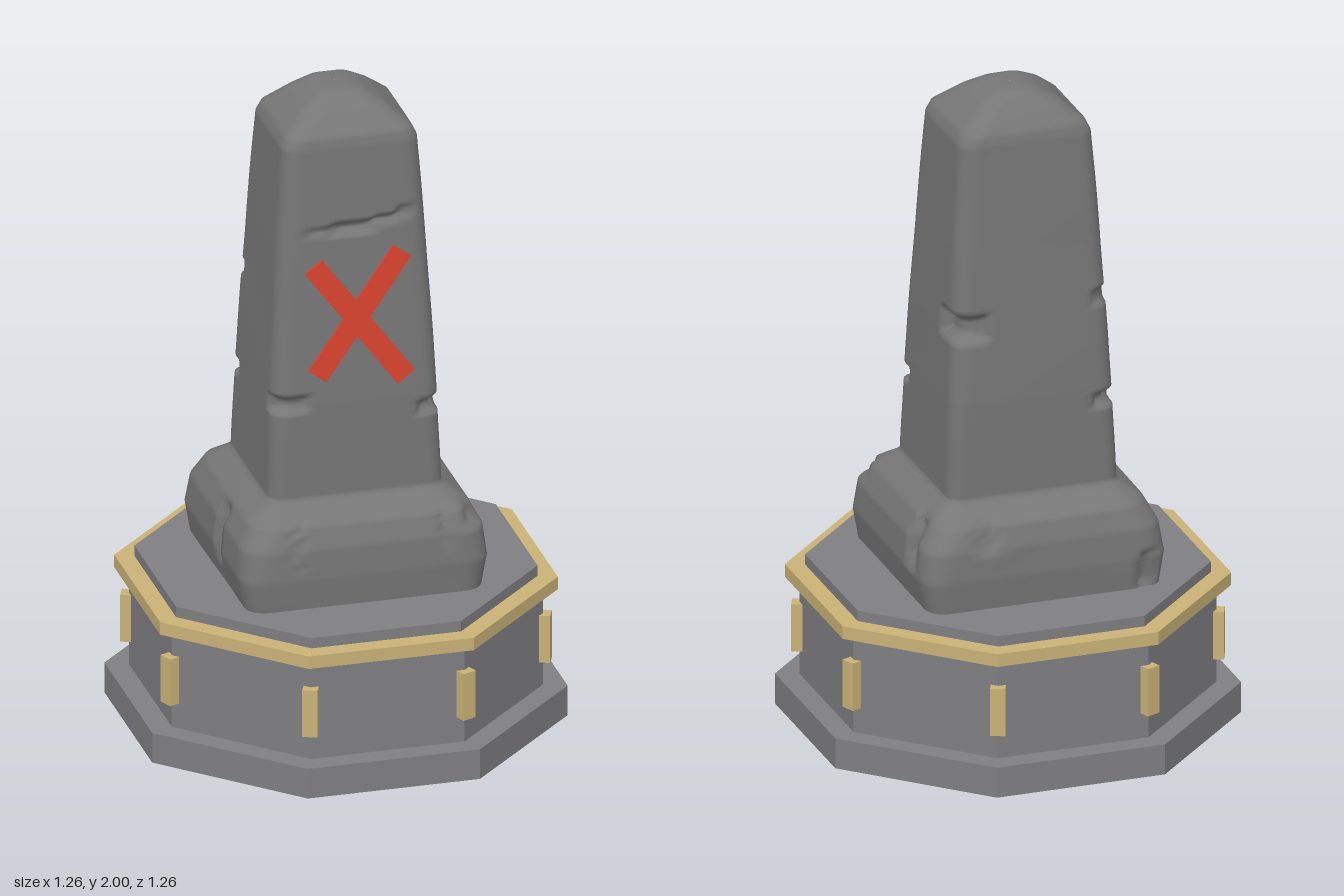
import * as THREE from 'three';

const paint = (name, color) => {
  const m = new THREE.MeshStandardMaterial({ color });
  m.name = name;
  return m;
};

// Octagonal slab with flat sides facing the axes
function octagon(apothem, y0, y1, material, name) {
  const r = apothem / Math.cos(Math.PI / 8);
  let geo = new THREE.CylinderGeometry(r, r, y1 - y0, 8);
  geo.rotateY(Math.PI / 8);
  geo = geo.toNonIndexed();
  geo.computeVertexNormals();
  const mesh = new THREE.Mesh(geo, material);
  mesh.position.y = (y0 + y1) / 2;
  mesh.name = name;
  return mesh;
}

// Height, half width, half depth, corner radius, z offset
const profile = [
  [0.47, 0.36, 0.345, 0.06, 0], [0.57, 0.378, 0.352, 0.07, 0], [0.66, 0.368, 0.345, 0.08, 0],
  [0.725, 0.335, 0.32, 0.09, 0], [0.765, 0.285, 0.255, 0.06, 0], [0.78, 0.265, 0.238, 0.045, 0],
  [1.08, 0.254, 0.234, 0.05, 0], [1.55, 0.228, 0.203, 0.05, 0], [1.87, 0.206, 0.183, 0.05, 0],
  [1.9, 0.192, 0.176, 0.05, 0], [1.96, 0.122, 0.122, 0.05, -0.005], [1.99, 0.07, 0.088, 0.04, -0.012],
  [2.0, 0.035, 0.06, 0.03, -0.015], [2.0, 0.001, 0.001, 0.001, -0.015],
];

// Chips and cracks: centre xyz, reach xyz, relative depth
const chips = [
  [-0.1, 1.61, 0.2, 0.06, 0.014, 0.1, 0.05], [0, 1.613, 0.2, 0.08, 0.02, 0.1, 0.12],
  [0.1, 1.63, 0.2, 0.05, 0.014, 0.1, 0.08], [0.155, 1.648, 0.19, 0.03, 0.022, 0.1, 0.06],
  [-0.21, 1.08, 0.23, 0.07, 0.028, 0.07, 0.09], [0.25, 1.03, 0.22, 0.07, 0.025, 0.07, 0.09],
  [0.23, 1.31, -0.17, 0.1, 0.045, 0.09, 0.14], [-0.25, 1.04, -0.23, 0.07, 0.025, 0.08, 0.1],
  [-0.22, 1.36, -0.2, 0.04, 0.03, 0.05, 0.05], [-0.36, 0.62, 0.06, 0.08, 0.1, 0.03, 0.08],
  [0.37, 0.66, -0.2, 0.08, 0.09, 0.04, 0.07], [0.18, 0.7, -0.34, 0.04, 0.06, 0.08, 0.05],
  [-0.31, 0.53, -0.35, 0.025, 0.07, 0.06, 0.06], [0.24, 0.7, 0.34, 0.015, 0.1, 0.08, 0.04],
  [-0.21, 0.68, 0.34, 0.012, 0.09, 0.08, 0.03], [0.36, 0.72, 0.32, 0.06, 0.05, 0.06, 0.05],
];

// Outline of a rounded rectangle, always the same number of points
function outline(w, d, r, edgeSteps, arcSteps) {
  const corners = [];
  for (let c = 0; c < 4; c++) {
    const sx = c === 0 || c === 3 ? 1 : -1, sz = c < 2 ? 1 : -1;
    const arc = [];
    for (let i = 0; i <= arcSteps; i++) {
      const a = (c + i / arcSteps) * Math.PI / 2;
      arc.push([sx * (w - r) + r * Math.cos(a), sz * (d - r) + r * Math.sin(a)]);
    }
    corners.push(arc);
  }
  const pts = [];
  corners.forEach((arc, c) => {
    pts.push(...arc);
    const a = arc[arcSteps], b = corners[(c + 1) % 4][0];
    for (let i = 1; i < edgeSteps; i++) {
      const t = i / edgeSteps;
      pts.push([a[0] + (b[0] - a[0]) * t, a[1] + (b[1] - a[1]) * t]);
    }
  });
  return pts;
}

// Weathered stone: rounded rectangles lofted up the profile, then chipped
function stoneGeometry() {
  const rows = [];
  for (let i = 0; i < profile.length - 1; i++) {
    const a = profile[i], b = profile[i + 1];
    const steps = Math.max(1, Math.ceil((b[0] - a[0]) / 0.01));
    for (let s = 0; s < steps; s++) rows.push(a.map((v, k) => v + (b[k] - v) * s / steps));
  }
  rows.push(profile[profile.length - 1]);

  const pos = [], index = [];
  let n = 0;
  for (const [y, w, d, r, dz] of rows) {
    const ring = outline(w, d, r, 24, 5);
    n = ring.length;
    for (const [x, z0] of ring) {
      const z = z0 + dz;
      let k = 1 + 0.006 * Math.sin(9 * y + 7 * x) * Math.sin(8 * z + 5 * y + 1);
      for (const [cx, cy, cz, rx, ry, rz, depth] of chips) {
        const far = Math.max(Math.abs(x - cx) / rx, Math.abs(y - cy) / ry, Math.abs(z - cz) / rz);
        if (far < 1) k -= depth * Math.min(1, 2 * (1 - far));
      }
      pos.push(x * k, y, z * k);
    }
  }
  for (let j = 0; j < rows.length - 1; j++) {
    for (let i = 0; i < n; i++) {
      const a = j * n + i, b = j * n + (i + 1) % n;
      index.push(a, a + n, b, b, a + n, b + n);
    }
  }
  const geo = new THREE.BufferGeometry();
  geo.setAttribute('position', new THREE.Float32BufferAttribute(pos, 3));
  geo.setIndex(index);
  geo.computeVertexNormals();
  return geo;
}

export function createModel() {
  const model = new THREE.Group();
  model.name = 'stoneMonument';
  const plinthGrey = paint('plinthGrey', 0x7f7f82);
  const stoneGrey = paint('stoneGrey', 0x767677);
  const gold = paint('gold', 0xc9b277);
  const red = paint('red', 0xd9432f);

  // Plinth tiers
  model.add(
    octagon(0.632, 0, 0.095, plinthGrey, 'plinthFoot'),
    octagon(0.565, 0.095, 0.405, plinthGrey, 'plinthDrum'),
    octagon(0.605, 0.403, 0.443, gold, 'goldBand'),
    octagon(0.55, 0.443, 0.476, plinthGrey, 'plinthTop'),
  );

  // Gold clasps on the drum corners
  const claspGeo = new THREE.BoxGeometry(0.045, 0.15, 0.05);
  for (let i = 0; i < 8; i++) {
    const a = (i + 0.5) * Math.PI / 4;
    const clasp = new THREE.Mesh(claspGeo, gold);
    clasp.position.set(0.61 * Math.sin(a), 0.25, 0.61 * Math.cos(a));
    clasp.rotation.y = a;
    clasp.name = 'cornerClasp';
    model.add(clasp);
  }

  // Obelisk with its swollen foot
  const stone = new THREE.Mesh(stoneGeometry(), stoneGrey);
  stone.name = 'obelisk';
  model.add(stone);

  // Painted cross, leaning with the front face
  const cross = new THREE.Group();
  cross.name = 'paintedCross';
  cross.position.set(0.008, 1.33, 0.2205);
  cross.rotation.x = -0.066;
  for (const [x0, y0, x1, y1] of [[-0.13, -0.165, 0.135, 0.2], [0.14, -0.195, -0.135, 0.178]]) {
    const bar = new THREE.Mesh(new THREE.BoxGeometry(Math.hypot(x1 - x0, y1 - y0), 0.066, 0.0095), red);
    bar.position.set((x0 + x1) / 2, (y0 + y1) / 2, 0);
    bar.rotation.z = Math.atan2(y1 - y0, x1 - x0);
    bar.name = 'crossBar';
    cross.add(bar);
  }
  model.add(cross);
  return model;
}
